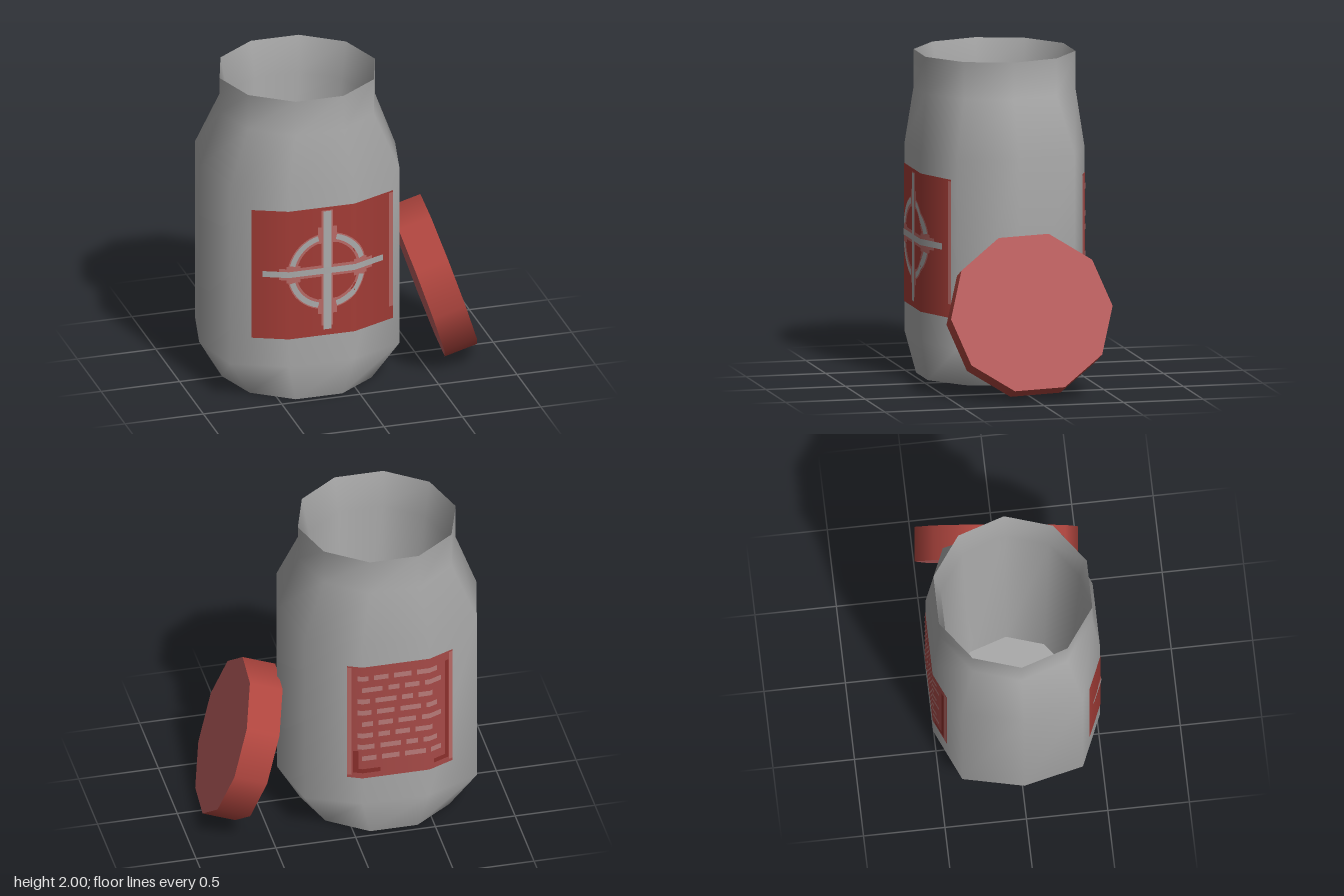
import * as THREE from 'three';

const mat = (name, color) => Object.assign(new THREE.MeshStandardMaterial({ color }), { name });
const grey = mat('jar grey', 0xaaaaaa);
const capRed = mat('lid face red', 0xbc6060);
const sideRed = mat('lid rim red', 0xb0463f);
const labelRed = mat('label red', 0xa23c36);
const backRed = mat('back label red', 0xa64a47);
const pink = mat('label pink', 0xb86a66);
const palePink = mat('writing pink', 0xb87a78);
const darkRed = mat('label dark red', 0x8c302c);

// Body outline: x, z and normal x of one quarter, from the middle of the face to the side
const FOLDS = [[0, 0.513, 0], [0.21, 0.513, 0.21], [0.54, 0.37, 0.75]];
const N = 10;
const decagon = (r) => Array.from({ length: N }, (_, i) => {
  const a = (i / N) * Math.PI * 2;
  return [r * Math.cos(a), r * Math.sin(a)];
});
const quarter = [[0.54, 0.37], [0.21, 0.513]];
const half = [[0.625, 0], ...quarter, ...quarter.slice().reverse().map(([x, z]) => [-x, z])];
const bodyRing = [...half, ...half.map(([x, z]) => [-x, -z])];

function mesh(name, geometry, material) {
  const m = new THREE.Mesh(geometry, material);
  m.name = name;
  return m;
}

// Skin through a list of [y, ring] cross-sections
function loft(sections) {
  const pos = [], idx = [];
  sections.forEach(([y, ring]) => ring.forEach(([x, z]) => pos.push(x, y, z)));
  for (let s = 0; s < sections.length - 1; s++) {
    for (let i = 0; i < N; i++) {
      const a = s * N + i, b = s * N + ((i + 1) % N);
      idx.push(a, a + N, b, b, a + N, b + N);
    }
  }
  const g = new THREE.BufferGeometry();
  g.setAttribute('position', new THREE.Float32BufferAttribute(pos, 3));
  g.setIndex(idx);
  g.computeVertexNormals();
  return g;
}

function disc(r, y, up) {
  return new THREE.CircleGeometry(r, N).rotateX(up ? -Math.PI / 2 : Math.PI / 2).translate(0, y, 0);
}

// Point and normal on the folded wall at x
function wall(x) {
  const ax = Math.abs(x), [a, b] = ax < 0.21 ? [FOLDS[0], FOLDS[1]] : [FOLDS[1], FOLDS[2]];
  const t = (ax - a[0]) / (b[0] - a[0]);
  const nx = a[2] + (b[2] - a[2]) * t;
  return { z: a[1] + (b[1] - a[1]) * t, nx: nx * Math.sign(x), nz: Math.sqrt(1 - nx * nx) };
}

// Rectangle split at the folds, as counter-clockwise quads
function rect(x0, x1, y0, y1) {
  const xs = [x0, ...[-0.21, 0.21].filter((f) => f > x0 && f < x1), x1];
  return xs.slice(1).map((x, i) => [[xs[i], y0], [x, y0], [x, y1], [xs[i], y1]]);
}

// Thin paint layer on the front (side 1) or back (side -1) wall
function paint(name, quads, material, side, lift) {
  const pos = [], nor = [], idx = [];
  quads.forEach((q) => {
    const k = pos.length / 3;
    q.forEach(([x, y]) => {
      const w = wall(x);
      pos.push(x, y, side * (w.z + lift));
      nor.push(w.nx, 0, side * w.nz);
    });
    idx.push(...(side > 0 ? [k, k + 1, k + 2, k, k + 2, k + 3] : [k, k + 2, k + 1, k, k + 3, k + 2]));
  });
  const g = new THREE.BufferGeometry();
  g.setAttribute('position', new THREE.Float32BufferAttribute(pos, 3));
  g.setAttribute('normal', new THREE.Float32BufferAttribute(nor, 3));
  g.setIndex(idx);
  return mesh(name, g, material);
}

// Four arcs of a circle with gaps at the axes
function arcs(cx, cy, r0, r1, gap) {
  const quads = [], steps = 8;
  for (let q = 0; q < 4; q++) {
    for (let i = 0; i < steps; i++) {
      const [a, b] = [i, i + 1].map((k) => q * Math.PI / 2 + gap + (Math.PI / 2 - 2 * gap) * k / steps);
      const p = (r, t) => [cx + r * Math.cos(t), cy + r * Math.sin(t)];
      quads.push([p(r0, a), p(r1, a), p(r1, b), p(r0, b)]);
    }
  }
  return quads;
}

function frontLabel() {
  const g = new THREE.Group();
  g.name = 'frontLabel';
  const cx = 0.035, cy = 0.865;
  g.add(
    paint('labelSheet', rect(-0.42, 0.49, 0.435, 1.29), labelRed, 1, 0.003),
    paint('labelEdge', rect(0.462, 0.49, 0.52, 1.28), pink, 1, 0.005),
    paint('crossShade', [
      ...rect(cx - 0.06, cx + 0.06, 1.05, 1.16), ...rect(cx - 0.06, cx + 0.06, 0.58, 0.68),
      ...rect(cx - 0.26, cx - 0.17, 0.81, 0.92), ...rect(cx + 0.17, cx + 0.26, 0.81, 0.92),
      ...rect(cx - 0.3, cx + 0.3, 0.83, 0.905), ...rect(cx - 0.037, cx + 0.037, 0.5, 1.27),
    ], pink, 1, 0.005),
    paint('ringShade', arcs(cx, cy, 0.195, 0.255, 0.2), pink, 1, 0.005),
    paint('ring', arcs(cx, cy, 0.212, 0.247, 0.25), grey, 1, 0.007),
    paint('cross', [...rect(-0.36, 0.415, 0.848, 0.887), ...rect(cx - 0.024, cx + 0.024, 0.475, 1.265)], grey, 1, 0.008),
  );
  return g;
}

function backLabel() {
  const g = new THREE.Group();
  g.name = 'backLabel';
  // Rows of short blurred dashes
  const dashes = [];
  for (let row = 0; row < 8; row++) {
    let x = -0.29 + (row % 3) * 0.03;
    for (let i = 0; x < 0.2; i++) {
      const w = 0.07 + ((row * 5 + i * 3) % 4) * 0.02, y = 0.57 + row * 0.084;
      dashes.push(...rect(x, Math.min(x + w, 0.24), y, y + 0.035));
      x += w + 0.035;
    }
  }
  g.add(
    paint('backSheet', rect(-0.37, 0.3, 0.44, 1.26), backRed, -1, 0.003),
    paint('backEdge', [...rect(-0.37, -0.345, 0.46, 1.25), ...rect(0.275, 0.3, 0.46, 1.25)], pink, -1, 0.005),
    paint('backMarks', [
      ...rect(0.235, 0.265, 0.48, 0.64), ...rect(0.1, 0.265, 0.48, 0.51),
      ...rect(-0.34, -0.315, 0.48, 1.2), ...rect(-0.34, -0.24, 0.48, 0.51),
    ], darkRed, -1, 0.006),
    paint('writing', dashes, palePink, -1, 0.006),
  );
  return g;
}

export function createModel() {
  const model = new THREE.Group();

  const jar = new THREE.Group();
  jar.name = 'jar';
  jar.position.x = -0.25;
  const neck = decagon(0.495);
  jar.add(
    mesh('jarWall', loft([[0, decagon(0.48)], [0.25, bodyRing], [1.42, bodyRing], [1.77, neck], [2, neck]]), grey),
    mesh('jarInside', loft([[2, neck], [1.77, decagon(0.45)], [0.15, decagon(0.385)]]), grey),
    mesh('jarFloor', disc(0.385, 0.15, true), grey),
    mesh('jarBase', disc(0.48, 0, false), grey),
    frontLabel(),
    backLabel(),
  );

  // Lid leaning against the jar
  const lid = mesh('lid', new THREE.CylinderGeometry(0.5, 0.5, 0.212, N), [sideRed, capRed, capRed]);
  const axis = new THREE.Vector3(0.945, 0.315, 0.1).normalize();
  const across = new THREE.Vector3(-0.09, -0.06, 1).addScaledVector(axis, -axis.dot(new THREE.Vector3(-0.09, -0.06, 1))).normalize();
  lid.quaternion.setFromRotationMatrix(new THREE.Matrix4().makeBasis(axis.clone().cross(across), axis, across));
  lid.position.set(0.615, 0.497, -0.005);

  model.add(jar, lid);
  return model;
}
